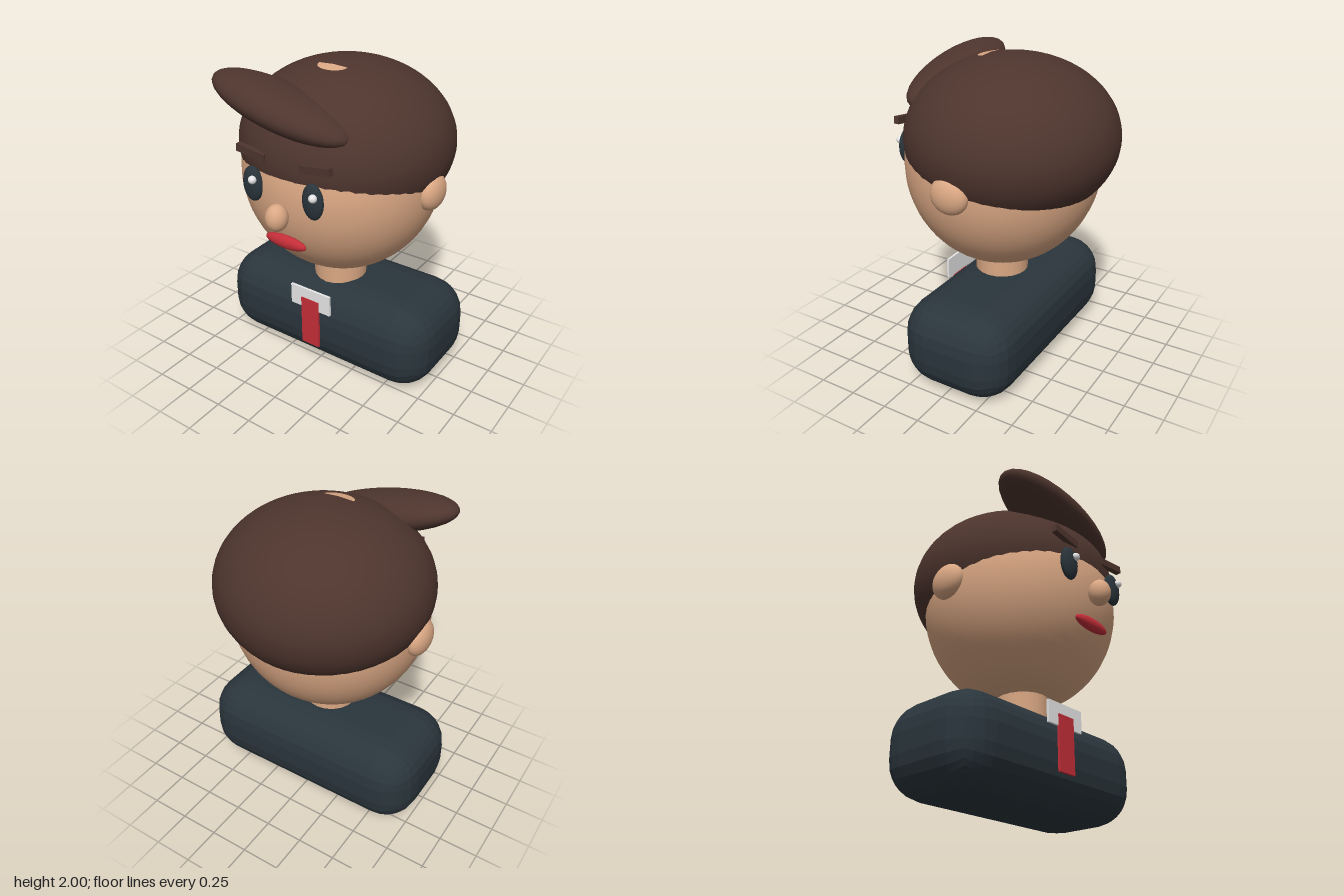
import * as THREE from 'three';
import { RoundedBoxGeometry } from 'three/addons/geometries/RoundedBoxGeometry.js';

function material(name, color, extra = {}) {
  const m = new THREE.MeshStandardMaterial({ color, ...extra });
  m.name = name;
  return m;
}

export function createModel() {
  const skin = material('skin', 0xdba884);
  const hairBrown = material('hair brown', 0x4e352e);
  const dark = material('dark slate', 0x2a353c);
  const suit = material('suit slate', 0x2a353c, { flatShading: true });
  const red = material('red', 0xc42e38);
  const white = material('white', 0xf0f0f0);

  const model = new THREE.Group();
  model.name = 'bust';

  function add(name, geometry, mat, [x, y, z], rotZ = 0) {
    const mesh = new THREE.Mesh(geometry, mat);
    mesh.name = name;
    mesh.position.set(x, y, z);
    mesh.rotation.z = rotZ;
    model.add(mesh);
    return mesh;
  }
  // Ellipsoid with the given centre and radii
  function ellipsoid(name, mat, centre, [rx, ry, rz], rotZ = 0, segments = 24) {
    const g = new THREE.SphereGeometry(1, segments, Math.round(segments * 0.75)).scale(rx, ry, rz);
    return add(name, g, mat, centre, rotZ);
  }
  const box = (name, mat, centre, size, rotZ = 0) =>
    add(name, new THREE.BoxGeometry(...size), mat, centre, rotZ);

  // Shoulders and neck
  add('shoulders', new RoundedBoxGeometry(1.56, 0.58, 0.75, 3, 0.23), suit, [0, 0.29, -0.035]);
  add('neck', new THREE.CylinderGeometry(0.172, 0.172, 0.35, 20), skin, [0, 0.65, 0.015]);

  // Collar and tie
  box('collar', white, [0, 0.52, 0.353], [0.3, 0.14, 0.016]);
  box('tie', red, [0, 0.348, 0.36], [0.133, 0.345, 0.016]);

  // Head and the hair that overlaps it
  ellipsoid('head', skin, [0, 1.33, 0], [0.63, 0.655, 0.61], 0, 48);
  const hairCentre = [0, 1.5, -0.06];
  const hairSize = [0.672, 0.5, 0.66];
  ellipsoid('hair', hairBrown, hairCentre, hairSize, 0, 48);
  ellipsoid('quiff', hairBrown, [-0.13, 1.805, 0.42], [0.485, 0.118, 0.208], -0.225, 32);

  // Small bare patch on the crown, laid onto the hair surface
  const patch = new THREE.CircleGeometry(0.1, 16, Math.PI, Math.PI).scale(1, 0.72, 1);
  const p = patch.attributes.position;
  for (let i = 0; i < p.count; i++) {
    const x = p.getX(i), z = 0.09 - p.getY(i);
    const u = x / hairSize[0], w = (z - hairCentre[2]) / hairSize[2];
    p.setXYZ(i, x, hairCentre[1] + hairSize[1] * Math.sqrt(1 - u * u - w * w) + 0.003, z);
  }
  patch.computeVertexNormals();
  add('crownPatch', patch, skin, [0, 0, 0]);

  // Paired features
  for (const [side, s] of [['left', 1], ['right', -1]]) {
    ellipsoid(side + 'Ear', skin, [s * 0.625, 1.31, -0.015], [0.07, 0.113, 0.123]);
    ellipsoid(side + 'Eye', dark, [s * 0.213, 1.375, 0.592], [0.07, 0.11, 0.035]);
    ellipsoid(side + 'EyeHighlight', white, [s * 0.213 + 0.024, 1.415, 0.625], [0.025, 0.025, 0.025], 0, 16);
    box(side + 'Eyebrow', hairBrown, [s * 0.224, 1.562, 0.577], [0.204, 0.046, 0.036], s * 0.13);
  }

  // Nose and mouth
  ellipsoid('nose', skin, [0, 1.24, 0.65], [0.067, 0.083, 0.07]);
  ellipsoid('mouth', red, [0, 1.05, 0.577], [0.147, 0.042, 0.032]);

  return model;
}
